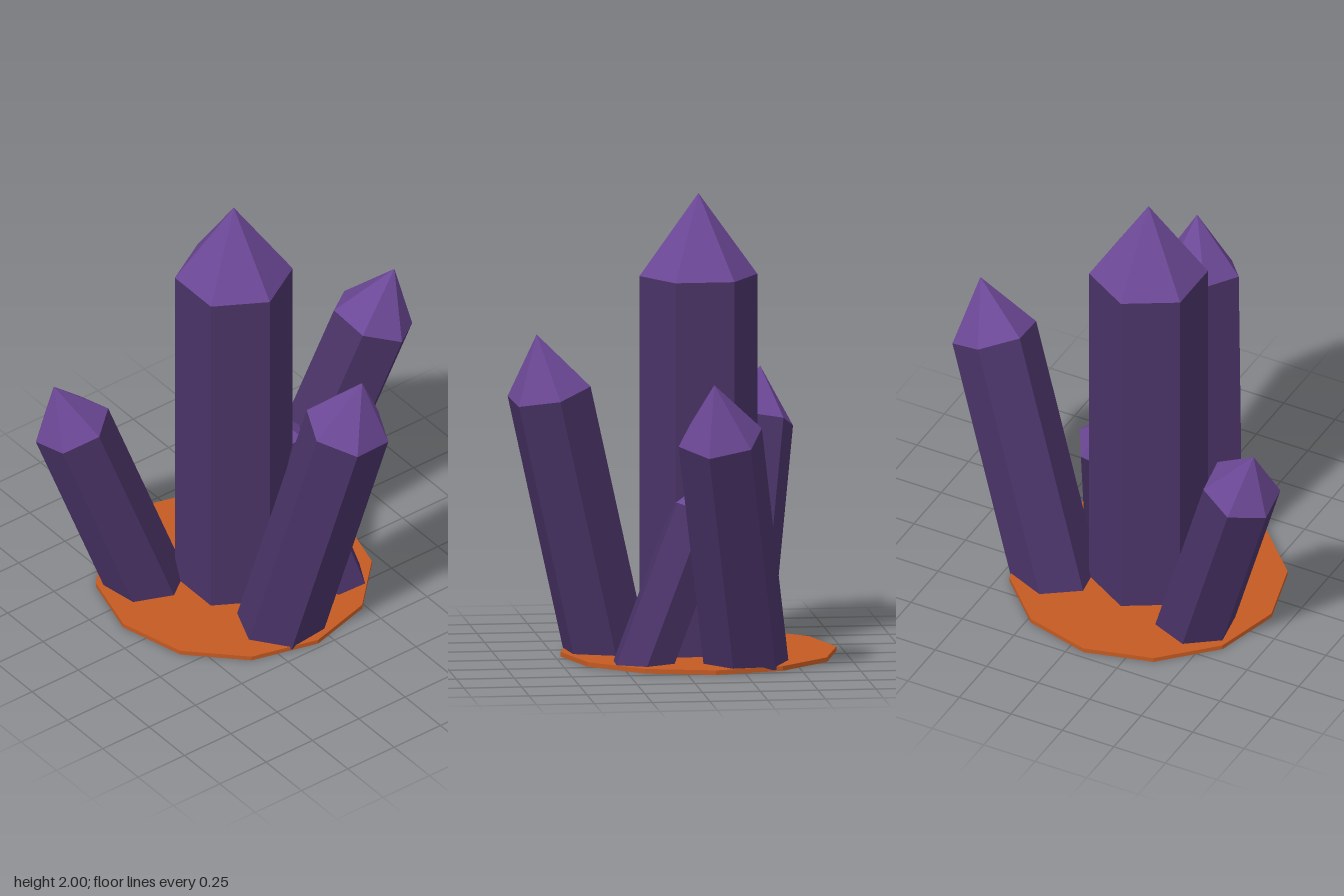
import * as THREE from 'three';

const UP = new THREE.Vector3(0, 1, 0);

// Separate the faces so every facet is flat
function faceted(geometry) {
  const g = geometry.toNonIndexed();
  g.computeVertexNormals();
  return g;
}

// Hexagonal crystal: base centre on the ground, shoulder centre where the point begins
function makeCrystal({ name, base, shoulder, radius, twist }, bodyMat, tipMat) {
  const foot = new THREE.Vector3(...base);
  const axis = new THREE.Vector3(...shoulder).sub(foot);
  const length = axis.length();
  const dir = axis.normalize();
  const lean = new THREE.Quaternion().setFromUnitVectors(UP, dir);
  const turn = THREE.MathUtils.degToRad(twist);
  const group = new THREE.Group();
  group.name = name;

  // Shaft
  const body = new THREE.CylinderGeometry(radius, radius, length, 6, 1, true);
  body.translate(0, length / 2, 0).rotateY(turn).applyQuaternion(lean).translate(...base);
  // Slide the lower ring along the axis so the shaft is cut level inside the base
  const pos = body.attributes.position;
  const p = new THREE.Vector3();
  for (let i = 0; i < pos.count; i++) {
    p.fromBufferAttribute(pos, i);
    if (p.y < length * 0.4) {
      p.addScaledVector(dir, (0.005 - p.y) / dir.y);
      pos.setXYZ(i, p.x, p.y, p.z);
    }
  }
  const shaft = new THREE.Mesh(faceted(body), bodyMat);
  shaft.name = 'crystalShaft';

  // Pointed end
  const tipHeight = radius * 1.395;
  const cone = new THREE.ConeGeometry(radius, tipHeight, 6, 1, true);
  cone.translate(0, length + tipHeight / 2, 0).rotateY(turn).applyQuaternion(lean).translate(...base);
  const tip = new THREE.Mesh(faceted(cone), tipMat);
  tip.name = 'crystalTip';

  group.add(shaft, tip);
  return group;
}

export function createModel() {
  const bodyMat = new THREE.MeshStandardMaterial({ color: 0x4a3367 });
  bodyMat.name = 'dark purple';
  const tipMat = new THREE.MeshStandardMaterial({ color: 0x6c4896 });
  tipMat.name = 'light purple';
  const baseMat = new THREE.MeshStandardMaterial({ color: 0xc45a22 });
  baseMat.name = 'rust orange';

  const model = new THREE.Group();
  model.name = 'crystalCluster';

  // Twelve-sided base plate
  const plate = new THREE.CylinderGeometry(0.597, 0.597, 0.02, 12);
  plate.translate(-0.07, 0.01, -0.12);
  const base = new THREE.Mesh(faceted(plate), baseMat);
  base.name = 'basePlate';
  model.add(base);

  // Crystals
  const crystals = [
    { name: 'centreCrystal', base: [-0.07, 0, -0.12], shoulder: [-0.07, 1.645, -0.12], radius: 0.255, twist: 0 },
    { name: 'frontCrystal', base: [-0.12, 0, 0.27], shoulder: [0.04, 1.17, 0.54], radius: 0.188, twist: 37 },
    { name: 'leftCrystal', base: [0.3, 0, -0.28], shoulder: [0.68, 1.055, -0.118], radius: 0.186, twist: 7 },
    { name: 'rightCrystal', base: [-0.395, 0, -0.315], shoulder: [-0.695, 0.912, -0.445], radius: 0.171, twist: 8 },
    { name: 'smallCrystal', base: [0.26, 0, 0.165], shoulder: [0.14, 0.645, -0.1], radius: 0.135, twist: 30 },
  ];
  for (const c of crystals) model.add(makeCrystal(c, bodyMat, tipMat));

  return model;
}
